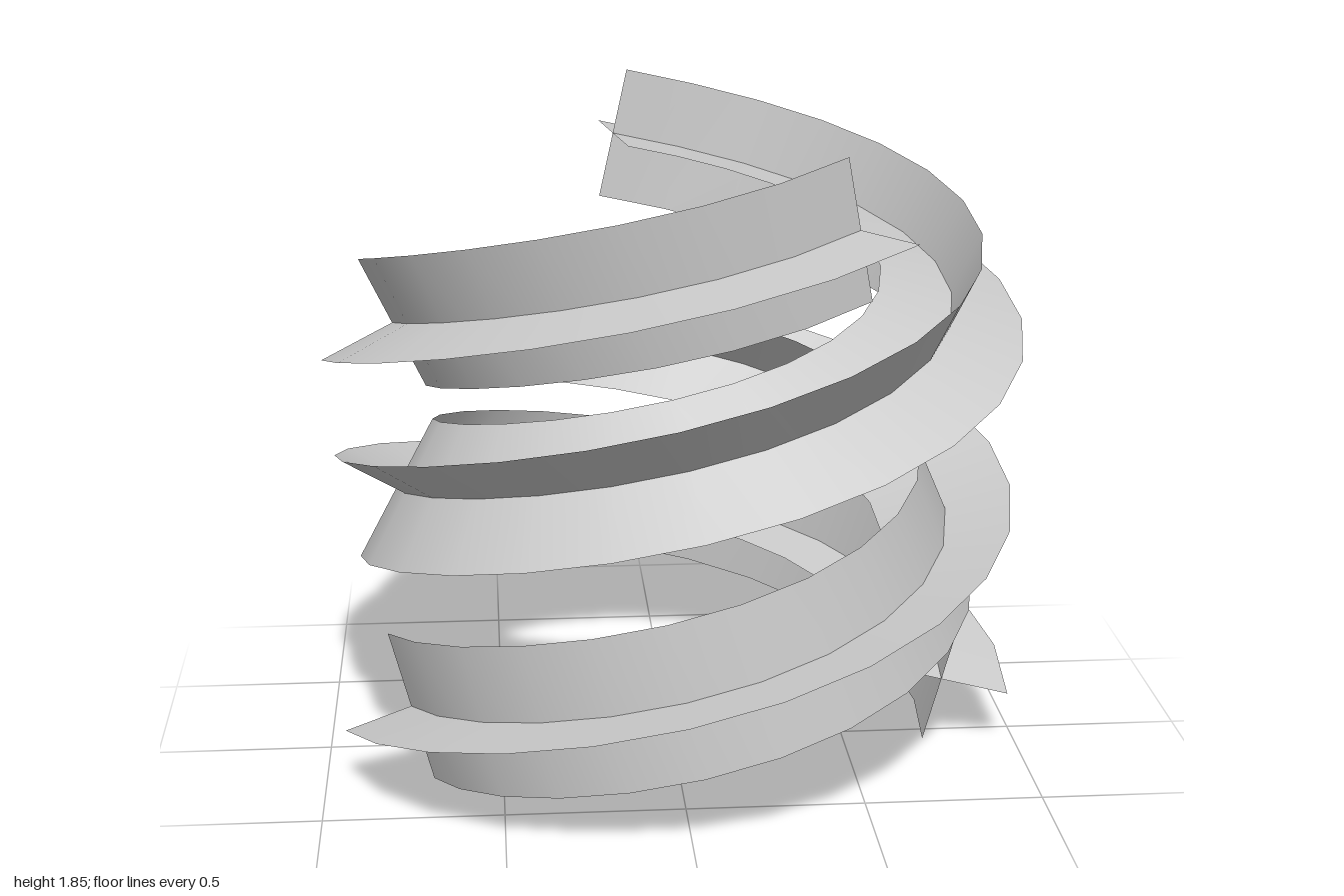
import * as THREE from 'three';

const rad = THREE.MathUtils.degToRad;
const RADIUS = 0.785, BASE = 0.213, RISE = 1.453, SWEEP = rad(468), STEPS = 32;
const LEAD = Math.atan(RISE / (SWEEP * RADIUS));
const ROLL_START = rad(13), ROLL_TOTAL = -SWEEP * Math.sin(LEAD);

// Flat ribbon swept up a helix, rolling slowly about its centre line.
function ribbonGeometry(start, width, rollOffset) {
  const positions = [], index = [];
  for (let i = 0; i <= STEPS; i++) {
    const t = i / STEPS, a = start + SWEEP * t;
    const out = new THREE.Vector3(Math.cos(a), 0, -Math.sin(a));
    const along = new THREE.Vector3(-Math.sin(a), 0, -Math.cos(a));
    const up = new THREE.Vector3(0, Math.cos(LEAD), 0).addScaledVector(along, -Math.sin(LEAD));
    const centre = out.clone().multiplyScalar(RADIUS).setY(BASE + RISE * t);
    const roll = ROLL_START + ROLL_TOTAL * t + rollOffset;
    const across = up.multiplyScalar(Math.cos(roll)).addScaledVector(out, Math.sin(roll));
    for (const s of [-0.5, 0.5]) {
      positions.push(...centre.clone().addScaledVector(across, s * width).toArray());
    }
    if (i < STEPS) {
      const k = i * 2;
      index.push(k, k + 2, k + 1, k + 1, k + 2, k + 3);
    }
  }
  const geometry = new THREE.BufferGeometry();
  geometry.setAttribute('position', new THREE.Float32BufferAttribute(positions, 3));
  geometry.setIndex(index);
  geometry.computeVertexNormals();
  return geometry;
}

export function createModel() {
  const model = new THREE.Group();
  model.name = 'doubleHelix';
  const material = new THREE.MeshStandardMaterial({ color: 0xcccccc, side: THREE.DoubleSide });

  // Two strands, each a cross of two ribbons at right angles
  const strands = [['frontStrand', 195.3], ['backStrand', -9]];
  for (const [name, start] of strands) {
    const strand = new THREE.Group();
    strand.name = name;
    const wide = new THREE.Mesh(ribbonGeometry(rad(start), 0.44, 0), material);
    wide.name = 'wideRibbon';
    const narrow = new THREE.Mesh(ribbonGeometry(rad(start), 0.395, Math.PI / 2), material);
    narrow.name = 'narrowRibbon';
    strand.add(wide, narrow);
    model.add(strand);
  }
  return model;
}
